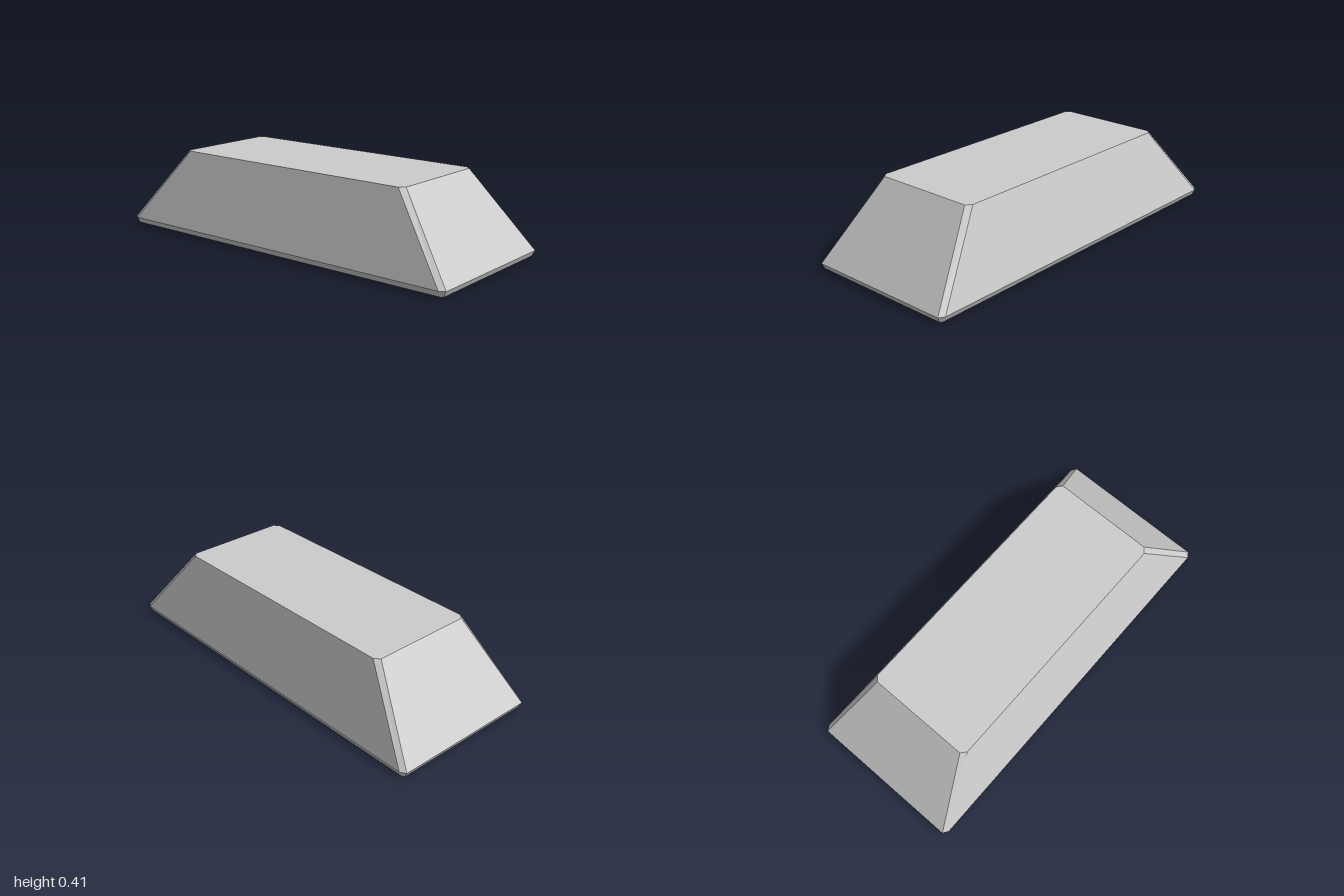
import * as THREE from 'three';

// Rectangular cross-section with cut corners: half sizes x, z and cuts cx, cz at height y
function ring({ y, x, z, cx = 0, cz = 0 }) {
  return [
    [x, z - cz], [x, -z + cz], [x - cx, -z], [-x + cx, -z],
    [-x, -z + cz], [-x, z - cz], [-x + cx, z], [x - cx, z],
  ].map(([px, pz]) => new THREE.Vector3(px, y, pz));
}

// Skin a list of cross-sections, leaving out triangles without area
function loft(sections) {
  const rings = sections.map(ring);
  const pos = [];
  const tri = (a, b, c) => {
    if (new THREE.Triangle(a, b, c).getArea() < 1e-7) return;
    for (const p of [a, b, c]) pos.push(p.x, p.y, p.z);
  };
  for (let k = 0; k < rings.length - 1; k++) {
    const lo = rings[k], hi = rings[k + 1];
    for (let i = 0; i < 8; i++) {
      const j = (i + 1) % 8;
      tri(lo[i], lo[j], hi[j]);
      tri(lo[i], hi[j], hi[i]);
    }
  }
  // Close the first and last section
  const cap = (r, flip) => {
    for (let i = 1; i < 7; i++) flip ? tri(r[0], r[i + 1], r[i]) : tri(r[0], r[i], r[i + 1]);
  };
  cap(rings[0], true);
  cap(rings[rings.length - 1], false);
  const geo = new THREE.BufferGeometry();
  geo.setAttribute('position', new THREE.Float32BufferAttribute(pos, 3));
  geo.computeVertexNormals();
  return geo;
}

export function createModel() {
  const group = new THREE.Group();
  const mat = new THREE.MeshStandardMaterial({ color: 0xcccccc, flatShading: true });

  // Hollow housing: ceiling of the cavity, down to the rim, then up the outside to the roof
  const housing = new THREE.Mesh(loft([
    { y: 0.385, x: 0.245, z: 0.645 },
    { y: 0, x: 0.362, z: 0.92 },
    { y: 0, x: 0.398, z: 0.985, cx: 0.008, cz: 0.012 },
    { y: 0.03, x: 0.413, z: 1.0, cx: 0.018, cz: 0.028 },
    { y: 0.415, x: 0.288, z: 0.695, cx: 0.023, cz: 0.027 },
  ]), mat);
  housing.name = 'housing';
  group.add(housing);

  // Lamp tubes running between the sloped end walls
  const tubes = new THREE.Group();
  tubes.name = 'lampTubes';
  for (const [x, y] of [[-0.21, 0.27], [-0.1, 0.265], [0, 0.2], [0.1, 0.265], [0.21, 0.27]]) {
    const half = 0.92 - 0.715 * y + 0.005;
    const tube = new THREE.Mesh(new THREE.CylinderGeometry(0.022, 0.022, half * 2, 8), mat);
    tube.name = 'lampTube';
    tube.rotation.x = Math.PI / 2;
    tube.position.set(x, y, 0);
    tubes.add(tube);
  }
  group.add(tubes);
  return group;
}
